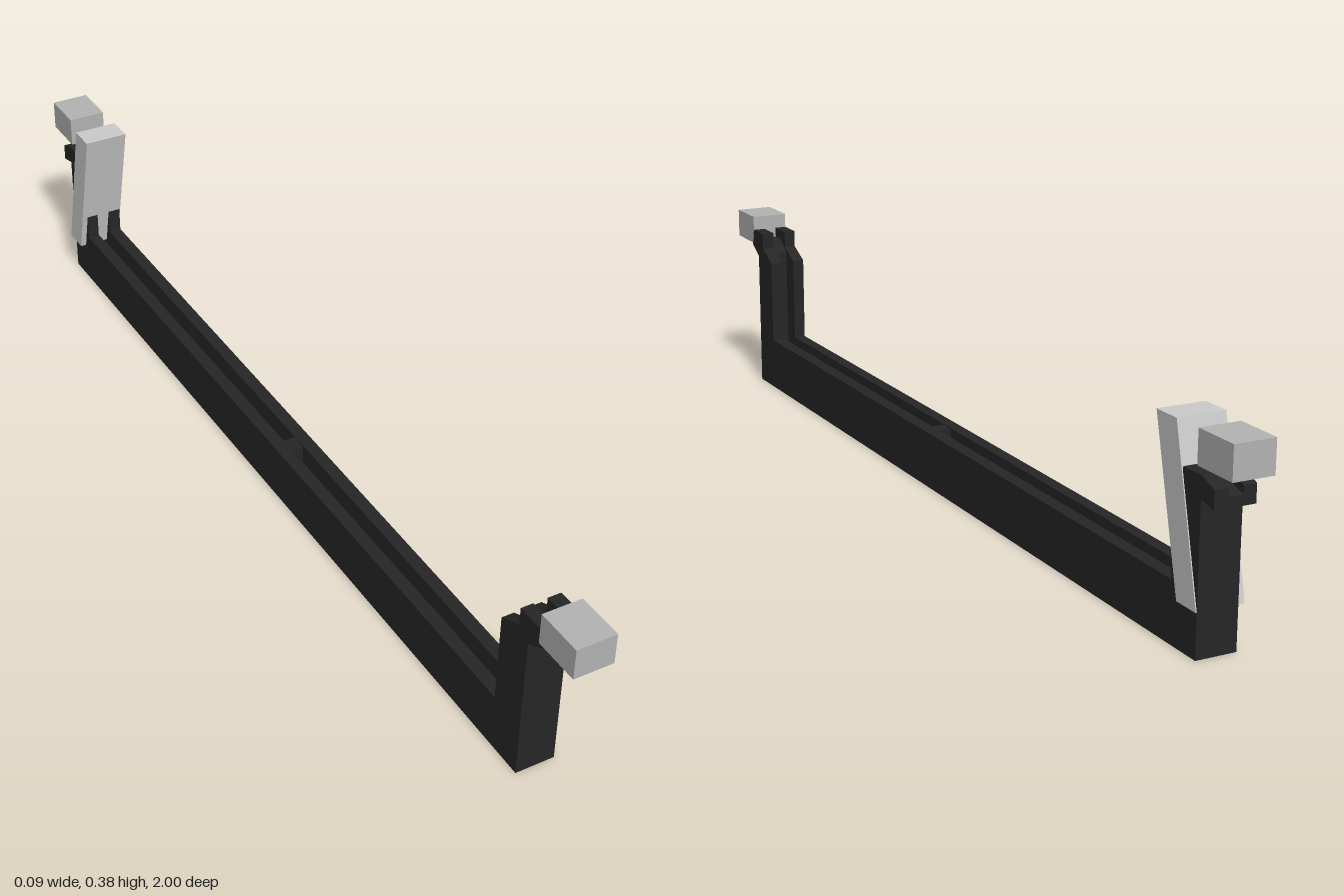
import * as THREE from 'three';

const dark = new THREE.MeshStandardMaterial({ color: 0x262626, flatShading: true });
const midGrey = new THREE.MeshStandardMaterial({ color: 0xb3b3b3, flatShading: true });
const lightGrey = new THREE.MeshStandardMaterial({ color: 0xcccccc, flatShading: true });

// Extrudes a side profile of [z, y] points from x0 to x1
function slab(name, points, x0, x1, material) {
  const shape = new THREE.Shape(points.map(([z, y]) => new THREE.Vector2(z, y)));
  const geometry = new THREE.ExtrudeGeometry(shape, { depth: x1 - x0, bevelEnabled: false });
  geometry.rotateY(-Math.PI / 2).translate(x1, 0, 0);
  const mesh = new THREE.Mesh(geometry, material);
  mesh.name = name;
  return mesh;
}

function box(name, x0, x1, y0, y1, z0, z1, material) {
  const mesh = new THREE.Mesh(new THREE.BoxGeometry(x1 - x0, y1 - y0, z1 - z0), material);
  mesh.position.set((x0 + x1) / 2, (y0 + y1) / 2, (z0 + z1) / 2);
  mesh.name = name;
  return mesh;
}

export function createModel() {
  const model = new THREE.Group();
  model.name = 'socket';
  const left = 0.043, right = -0.034;
  const grooveLeft = 0.017, grooveRight = -0.01;

  // Side walls: long rail, upright posts and hooked tops
  const wall = [
    [-0.92, 0], [0.88, 0], [0.88, 0.29], [0.915, 0.31], [0.915, 0.345], [0.853, 0.345],
    [0.853, 0.31], [0.805, 0.287], [0.805, 0.11], [-0.845, 0.11], [-0.845, 0.25],
    [-0.87, 0.303], [-0.92, 0.303], [-0.955, 0.29], [-0.955, 0.257], [-0.92, 0.265],
  ];
  model.add(slab('leftWall', wall, grooveLeft, left, dark));
  model.add(slab('rightWall', wall, right, grooveRight, dark));

  // Core between the walls, set back so that it forms the groove
  const core = [
    [-0.92, 0], [0.88, 0], [0.88, 0.29], [0.915, 0.31], [0.915, 0.325], [0.88, 0.325],
    [0.845, 0.3], [0.845, 0.07], [-0.885, 0.07], [-0.885, 0.285], [-0.92, 0.285],
    [-0.955, 0.275], [-0.955, 0.257], [-0.92, 0.265],
  ];
  model.add(slab('grooveCore', core, grooveRight, grooveLeft, dark));
  model.add(box('slotKey', grooveRight, grooveLeft, 0.07, 0.108, 0.02, 0.055, dark));

  // Finger tabs at both ends
  model.add(box('frontTab', right, left, 0.315, 0.375, 0.907, 1, midGrey));
  model.add(box('backTab', right, left, 0.315, 0.375, -1, -0.907, midGrey));

  // Tilted latch around the back post
  const latch = [[-0.92, 0.08], [-0.865, 0.08], [-0.793, 0.375], [-0.85, 0.375]];
  model.add(slab('latchLever', latch, -0.046, 0.045, lightGrey));

  return model;
}
